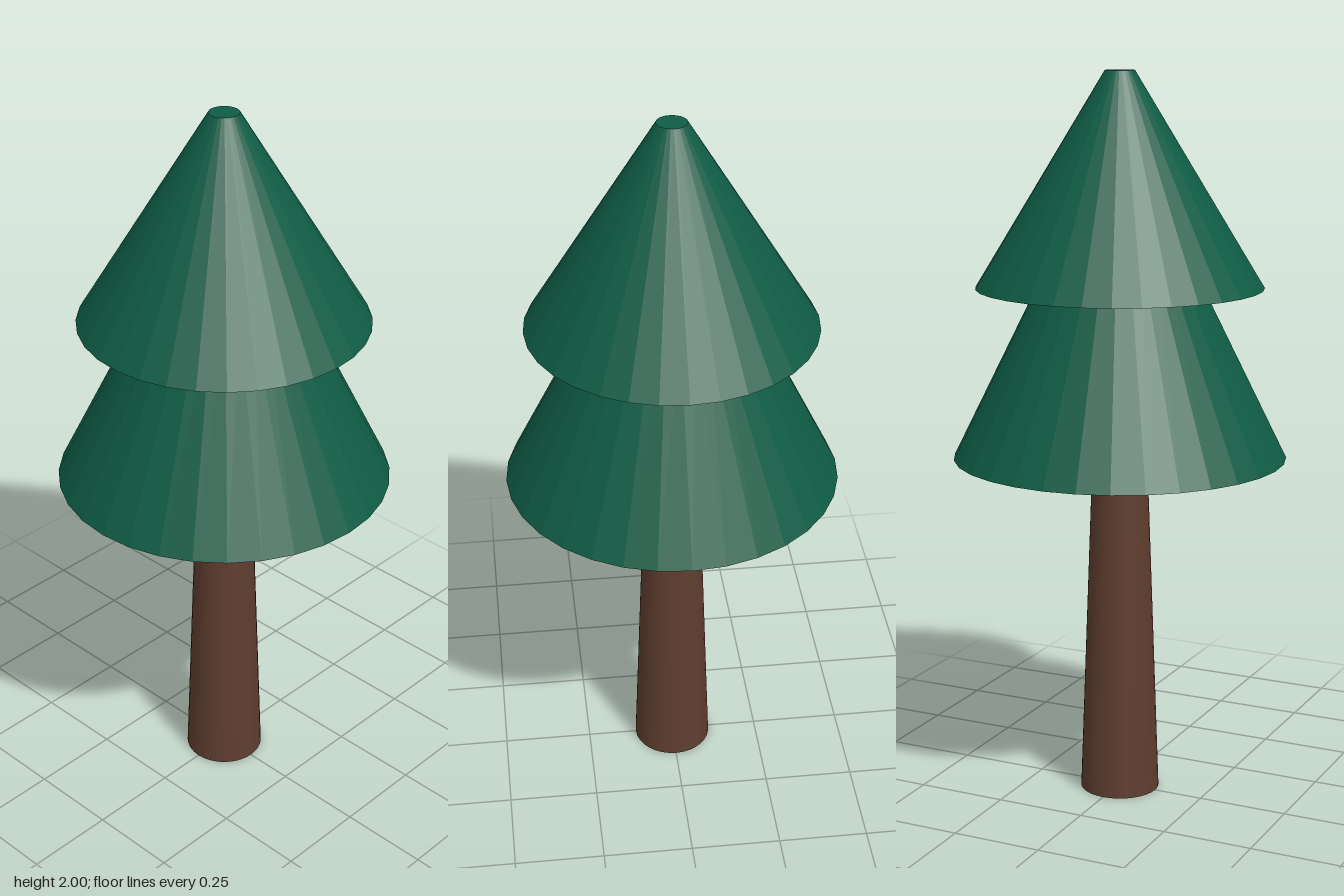
import * as THREE from 'three';

export function createModel() {
  const tree = new THREE.Group();
  tree.name = 'pineTree';

  const bark = new THREE.MeshStandardMaterial({ color: 0x5f3d2f });
  bark.name = 'brown bark';
  const needles = new THREE.MeshStandardMaterial({ color: 0x0f5c45 });
  needles.name = 'dark green needles';

  // Tapered, capped round section standing between two heights
  function addTaper(name, bottomY, topY, bottomRadius, topRadius, material, faceted) {
    const height = topY - bottomY;
    let geometry = new THREE.CylinderGeometry(topRadius, bottomRadius, height, 32);
    if (faceted) {
      geometry = geometry.toNonIndexed();
      geometry.computeVertexNormals();
    }
    const mesh = new THREE.Mesh(geometry, material);
    mesh.name = name;
    mesh.position.y = bottomY + height / 2;
    tree.add(mesh);
  }

  addTaper('trunk', 0, 1.0, 0.11, 0.074, bark, false);
  addTaper('lowerFoliage', 0.96, 1.5, 0.455, 0.188, needles, true);
  addTaper('upperFoliage', 1.425, 2, 0.39, 0.04, needles, true);

  return tree;
}
